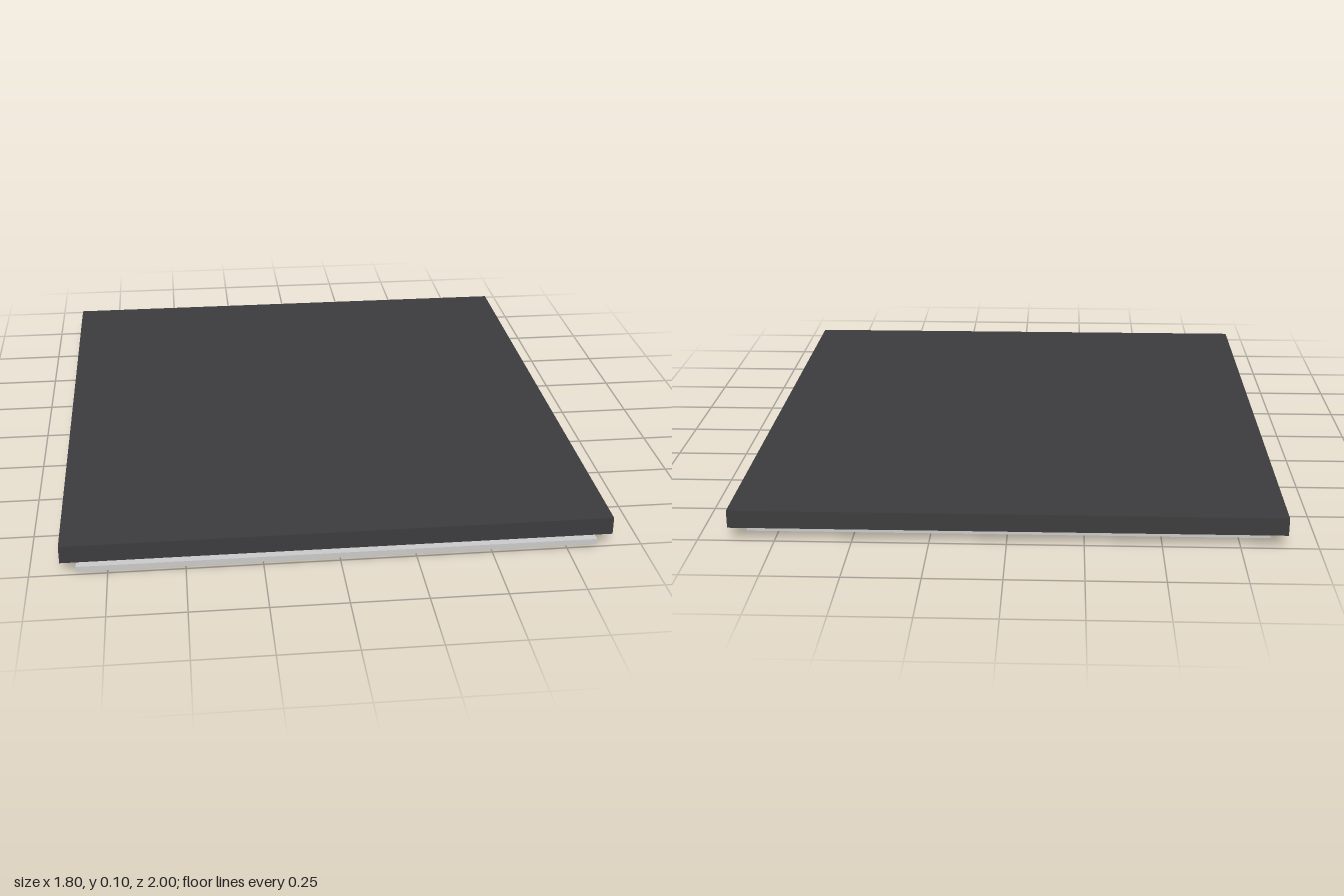
import * as THREE from 'three';

const grey = new THREE.MeshStandardMaterial({ color: 0xcccccc });
const dark = new THREE.MeshStandardMaterial({ color: 0x3c3c3e });

// Mesh helper
function add(parent, name, geometry, material, x = 0, y = 0, z = 0) {
  const mesh = new THREE.Mesh(geometry, material);
  mesh.name = name;
  mesh.position.set(x, y, z);
  parent.add(mesh);
  return mesh;
}

// Rectangle path in plan (x, z)
function rect(path, x0, z0, x1, z1) {
  path.moveTo(x0, z0);
  path.lineTo(x1, z0);
  path.lineTo(x1, z1);
  path.lineTo(x0, z1);
  path.closePath();
  return path;
}

// Flat layer drawn in plan, between two heights
function layer(holes, bottom, top) {
  const shape = rect(new THREE.Shape(), -0.85, -0.945, 0.85, 1);
  shape.holes.push(...holes);
  const g = new THREE.ExtrudeGeometry(shape, { depth: top - bottom, bevelEnabled: false, curveSegments: 40 });
  return g.rotateX(Math.PI / 2).translate(0, top, 0);
}

export function createModel() {
  const group = new THREE.Group();
  group.name = 'platform';

  // Top slab
  add(group, 'topSlab', new THREE.BoxGeometry(1.8, 0.06, 2), dark, 0, 0.075, 0);

  // Base plate: lower layer with shallow oval recesses, upper layer closing them
  const slot = () => rect(new THREE.Path(), -0.16, 0.83, 0.16, 0.89);
  const ovals = [];
  for (const s of [1, -1]) {
    const large = new THREE.Path();
    large.absellipse(s * 0.163, -0.097, 0.122, 0.103, 0, Math.PI * 2, false, -s * Math.PI / 4);
    const small = new THREE.Path();
    small.absellipse(s * 0.163, 0.103, 0.116, 0.07, 0, Math.PI * 2, false, s * 0.31);
    ovals.push(large, small);
  }
  add(group, 'basePlateRecessed', layer([slot(), ...ovals], 0.01, 0.018), grey);
  add(group, 'basePlateUpper', layer([slot()], 0.018, 0.028), grey);

  // Roof of the slot pocket, standing just above the plate
  add(group, 'slotCover', new THREE.BoxGeometry(0.33, 0.005, 0.064), grey, 0, 0.0305, 0.86);

  // Four round feet with a shallow rim
  const profile = [[0.05, 0.01], [0.05, 0.002], [0.047, 0], [0.036, 0], [0.034, 0.003], [0, 0.003]]
    .map(([r, y]) => new THREE.Vector2(r, y)).reverse();
  const foot = new THREE.LatheGeometry(profile, 32);
  for (const x of [-0.61, 0.61]) {
    for (const z of [-0.7, 0.7]) add(group, 'foot', foot, grey, x, 0, z);
  }

  return group;
}
